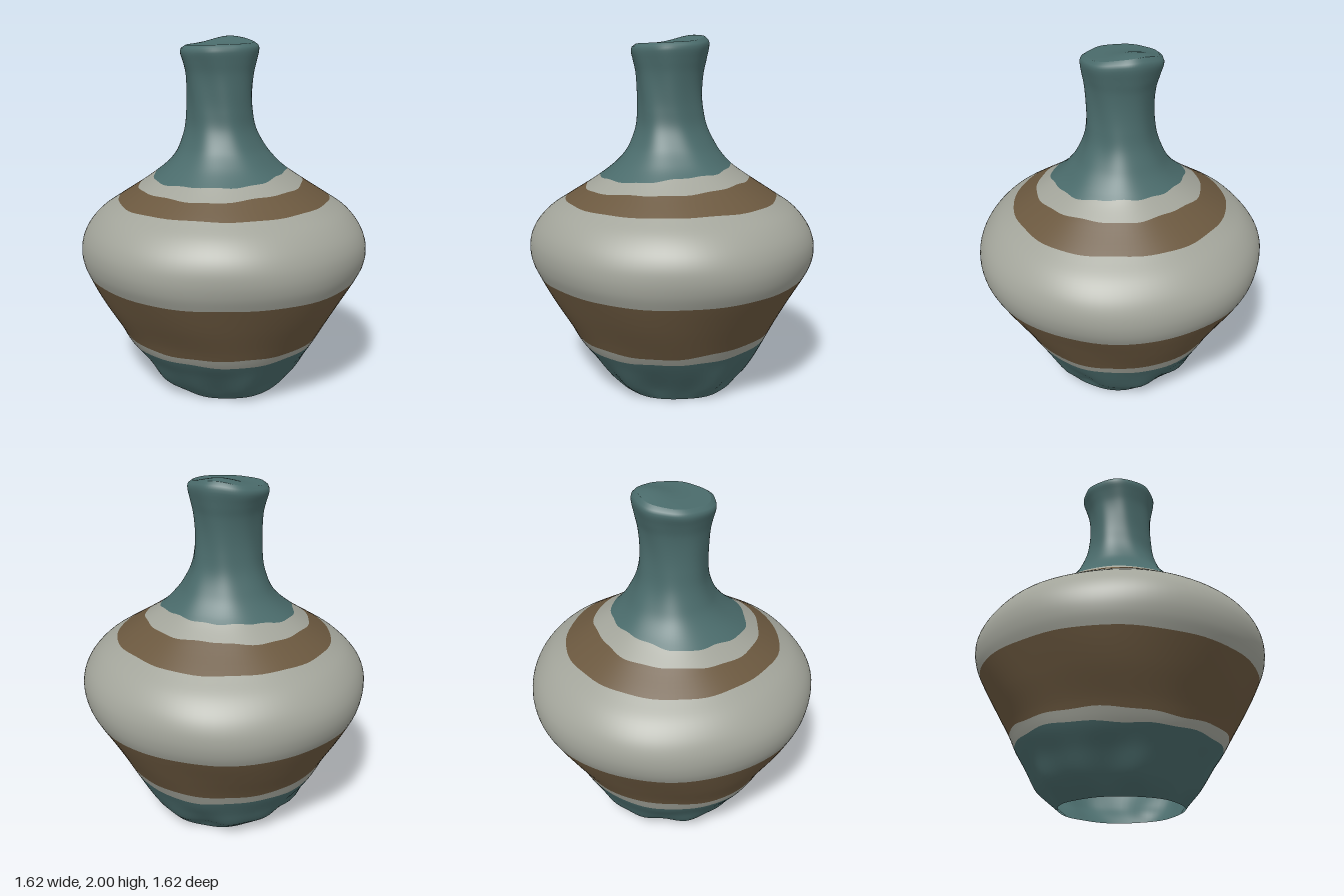
import * as THREE from 'three';

const SEG = 96;

// Profile from foot to lip: height, radius, centre x, centre z
const PROFILE = [
  [0.00, 0.335, 0.02, 0.015], [0.05, 0.385, 0.01, 0.00], [0.10, 0.43, 0.01, -0.01],
  [0.20, 0.495, 0.005, -0.005], [0.30, 0.56, -0.005, -0.005], [0.40, 0.612, -0.005, 0],
  [0.55, 0.697, -0.005, 0], [0.70, 0.776, 0, 0], [0.76, 0.80, 0, 0], [0.83, 0.81, 0, 0],
  [0.90, 0.80, 0, 0], [0.97, 0.765, 0, 0], [1.04, 0.70, 0, 0], [1.10, 0.61, 0, 0],
  [1.20, 0.455, 0, 0], [1.28, 0.345, -0.005, 0], [1.34, 0.285, -0.005, 0],
  [1.40, 0.243, -0.005, -0.005], [1.50, 0.20, -0.01, -0.01], [1.60, 0.185, -0.015, -0.01],
  [1.70, 0.182, -0.018, -0.01], [1.80, 0.189, -0.017, -0.012], [1.87, 0.205, -0.016, -0.016],
  [1.92, 0.217, -0.014, -0.02], [1.945, 0.212, -0.013, -0.02], [1.96, 0.19, -0.012, -0.02],
];

// Smooth cubic interpolation of one profile column at height y
function sample(y, col) {
  let i = 0;
  while (i < PROFILE.length - 2 && y > PROFILE[i + 1][0]) i++;
  const p = (k) => PROFILE[Math.max(0, Math.min(PROFILE.length - 1, k))];
  const slope = (k) => (p(k + 1)[col] - p(k - 1)[col]) / (p(k + 1)[0] - p(k - 1)[0]);
  const h = p(i + 1)[0] - p(i)[0];
  const t = (y - p(i)[0]) / h, t2 = t * t, t3 = t2 * t;
  return (2 * t3 - 3 * t2 + 1) * p(i)[col] + (t3 - 2 * t2 + t) * h * slope(i)
    + (3 * t2 - 2 * t3) * p(i + 1)[col] + (t3 - t2) * h * slope(i + 1);
}

// Uneven rise of the lip, highest towards the back left
function lipRise(x, z, y) {
  const bump = 0.04 * Math.exp(-((x - 0.12) ** 2 + (z + 0.05) ** 2) / 0.018);
  return THREE.MathUtils.smoothstep(y, 1.84, 1.96) * (bump + 0.025 * x + 0.02 * z - 0.002);
}

// Point on the hand-shaped wall at angle a and height y, scaled inwards by s
function wallPoint(a, y, s = 1) {
  const foot = THREE.MathUtils.smoothstep(0.28 - y, 0, 0.2) * THREE.MathUtils.smoothstep(y, -0.02, 0.08);
  const lumps = 0.004 * Math.sin(3 * a + 5 * y) + 0.003 * Math.sin(7 * a - 9 * y)
    + foot * (0.012 * Math.sin(6 * a + 0.6) + 0.008 * Math.sin(11 * a + 2));
  const r = (sample(y, 1) + lumps) * s;
  const x = sample(y, 2) + r * Math.cos(a);
  const z = sample(y, 3) + r * Math.sin(a);
  return [x, y + lipRise(x, z, y), z];
}

// Closed grid of rings, point(angle, t) with t from 0 to 1
function ringSurface(rows, point) {
  const pos = [], idx = [];
  for (let i = 0; i <= rows; i++) {
    for (let j = 0; j < SEG; j++) pos.push(...point((j / SEG) * Math.PI * 2, i / rows));
  }
  for (let i = 0; i < rows; i++) {
    for (let j = 0; j < SEG; j++) {
      const a = i * SEG + j, c = i * SEG + (j + 1) % SEG;
      idx.push(a, a + SEG, c, a + SEG, c + SEG, c);
    }
  }
  const g = new THREE.BufferGeometry();
  g.setAttribute('position', new THREE.Float32BufferAttribute(pos, 3));
  g.setIndex(idx);
  g.computeVertexNormals();
  return g;
}

// Wavering paint line: mean height, tilt along x, tilt along z, wobble
const line = (y, tx = 0, tz = 0, w = 0.003) => (a) =>
  y + tx * Math.cos(a) + tz * Math.sin(a) + w * (Math.sin(5 * a + y * 40) + 0.6 * Math.sin(13 * a + y * 9));

export function createModel() {
  const vase = new THREE.Group();
  vase.name = 'vase';

  const material = (name, color) => {
    const m = new THREE.MeshStandardMaterial({ color, side: THREE.DoubleSide });
    m.name = name;
    return m;
  };
  const teal = material('teal glaze', 0x4a6b6b);
  const grey = material('pale grey glaze', 0xa3a59b);
  const brown = material('brown glaze', 0x6b583f);

  const add = (name, geometry, mat) => {
    const mesh = new THREE.Mesh(geometry, mat);
    mesh.name = name;
    vase.add(mesh);
  };

  // Painted bands of the thin wall, each reaching up to its paint line
  const bands = [
    ['foot', teal, line(0.305, 0.01, -0.01, 0.005), 20],
    ['lowerGreyStripe', grey, line(0.362, 0.015, -0.015, 0.005), 4],
    ['wideBrownBand', brown, line(0.695, 0.003, -0.01, 0.002), 16],
    ['greyBelly', grey, line(1.105, 0.004, 0, 0.002), 28],
    ['shoulderBrownStripe', brown, line(1.195, 0.022, 0, 0.003), 6],
    ['upperGreyStripe', grey, line(1.258, 0.03, 0, 0.004), 5],
    ['neck', teal, () => 1.96, 48],
  ];
  let low = () => 0;
  for (const [name, mat, high, rows] of bands) {
    const from = low;
    add(name, ringSurface(rows, (a, t) => wallPoint(a, THREE.MathUtils.lerp(from(a), high(a), t))), mat);
    low = high;
  }

  // Closed, uneven top inside the lip
  add('top', ringSurface(10, (a, t) => wallPoint(a, 1.96, 1 - t)), teal);

  return vase;
}
